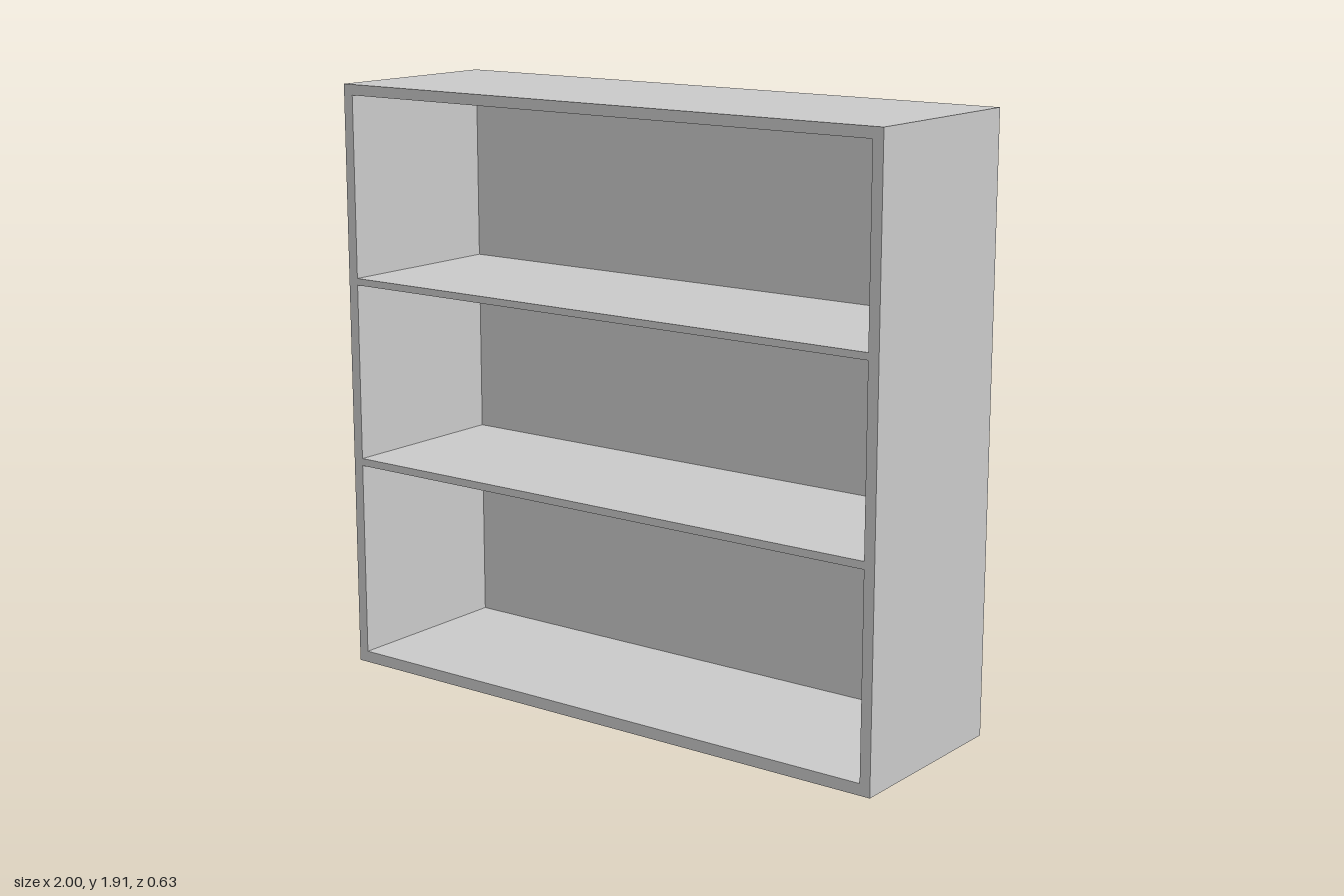
import * as THREE from 'three';

const W = 2, H = 1.914, D = 0.63;   // overall size
const BACK = 0.037;                 // back panel thickness
const INNER = 0.965;                // half width of the openings
const BAYS = [[0.037, 0.674], [0.698, 1.272], [1.294, 1.88]]; // bottom and top of each bay

// Traces a rectangle on a Shape or Path
function rect(path, x0, y0, x1, y1) {
  path.moveTo(x0, y0);
  path.lineTo(x1, y0);
  path.lineTo(x1, y1);
  path.lineTo(x0, y1);
  path.closePath();
  return path;
}

export function createModel() {
  const group = new THREE.Group();
  group.name = 'bookcase';
  const material = new THREE.MeshStandardMaterial({ color: 0xcccccc });

  // Sides, top, base and two shelves, flush at the front
  const outline = rect(new THREE.Shape(), -W / 2, 0, W / 2, H);
  for (const [y0, y1] of BAYS) outline.holes.push(rect(new THREE.Path(), -INNER, y0, INNER, y1));
  const frame = new THREE.Mesh(
    new THREE.ExtrudeGeometry(outline, { depth: D - BACK, bevelEnabled: false }), material);
  frame.name = 'frameAndShelves';
  frame.position.z = -D / 2 + BACK;
  group.add(frame);

  // Closed back
  const back = new THREE.Mesh(new THREE.BoxGeometry(W, H, BACK), material);
  back.name = 'backPanel';
  back.position.set(0, H / 2, -D / 2 + BACK / 2);
  group.add(back);

  return group;
}
